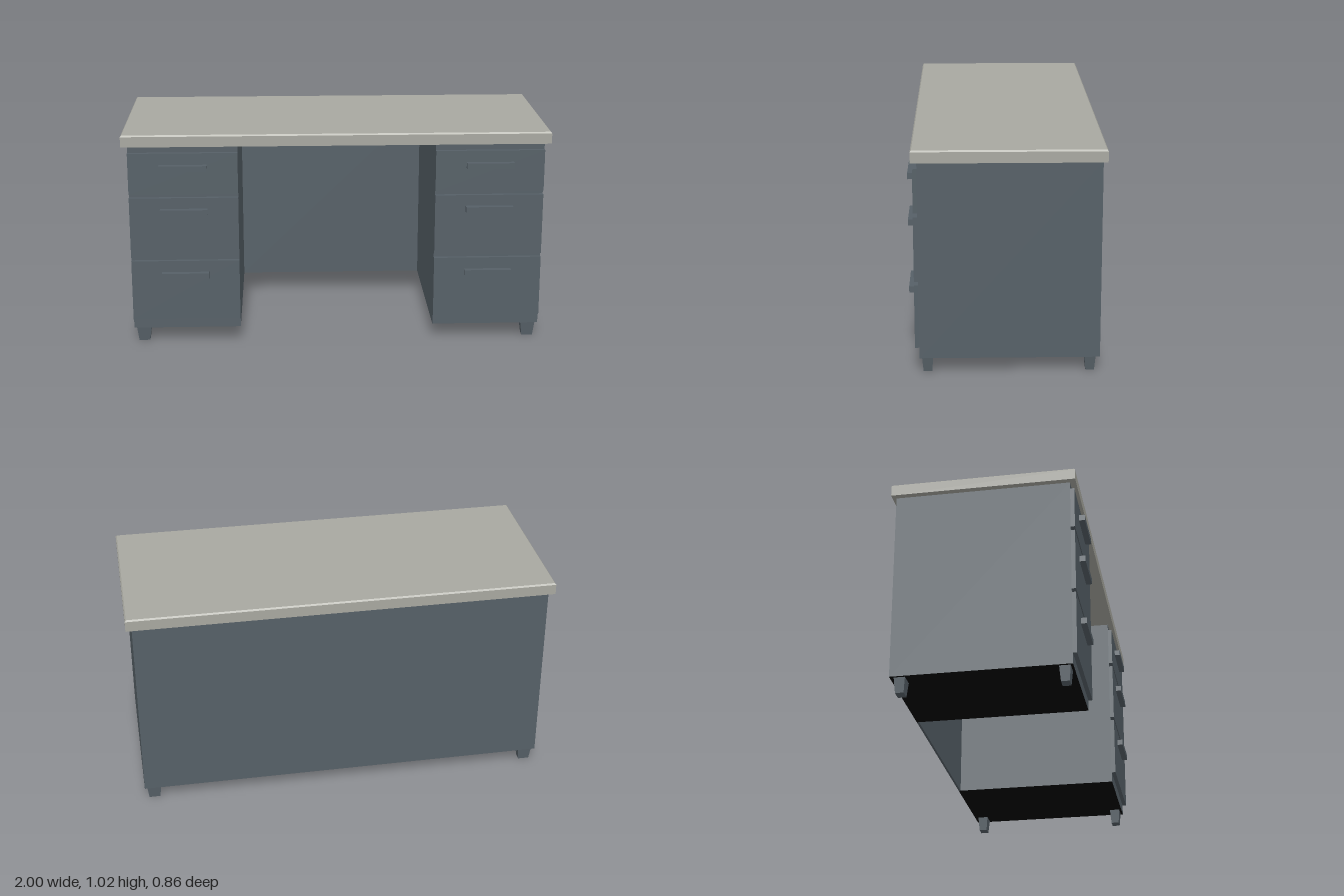
import * as THREE from 'three';

export function createModel() {
  const desk = new THREE.Group();
  desk.name = 'desk';

  const steel = new THREE.MeshStandardMaterial({ color: 0x566067 });
  steel.name = 'slate steel';
  const laminate = new THREE.MeshStandardMaterial({ color: 0xa8a8a0 });
  laminate.name = 'grey laminate';
  const dark = new THREE.MeshStandardMaterial({ color: 0x050505 });
  dark.name = 'black underside';

  // Box spanning two corners
  function box(name, material, [x0, y0, z0], [x1, y1, z1], parent = desk) {
    const mesh = new THREE.Mesh(new THREE.BoxGeometry(x1 - x0, y1 - y0, z1 - z0), material);
    mesh.position.set((x0 + x1) / 2, (y0 + y1) / 2, (z0 + z1) / 2);
    mesh.name = name;
    parent.add(mesh);
    return mesh;
  }

  // Box whose faces at one end (side = 1 top, -1 bottom) are drawn in
  function taper(mesh, side, sx, sz) {
    const p = mesh.geometry.attributes.position;
    for (let i = 0; i < p.count; i++) {
      if (p.getY(i) * side > 0) {
        p.setX(i, p.getX(i) * sx);
        p.setZ(i, p.getZ(i) * sz);
      }
    }
    mesh.geometry.computeVertexNormals();
  }

  // Desktop slab with a small chamfer round its upper edge
  box('desktop', laminate, [-1, 0.967, -0.431], [1, 1.016, 0.414]);
  const chamfer = box('desktopChamfer', laminate, [-1, 1.016, -0.431], [1, 1.023, 0.414]);
  taper(chamfer, 1, 0.994, 0.986);

  // Back panel closing the kneehole
  box('modestyPanel', steel, [-0.462, 0.07, -0.413], [0.462, 0.967, -0.403]);

  // Drawer fronts: bottom, top, handle centre height
  const drawers = [
    [0.12, 0.411, 0.342],
    [0.428, 0.72, 0.654],
    [0.738, 0.935, 0.866],
  ];

  for (const side of [-1, 1]) {
    const pedestal = new THREE.Group();
    pedestal.name = side > 0 ? 'leftPedestal' : 'rightPedestal';
    desk.add(pedestal);
    const cx = side * 0.717;
    const half = 0.255;

    // Cabinet with a black bottom face
    box('cabinet', [steel, steel, steel, dark, steel, steel],
      [cx - half, 0.07, -0.413], [cx + half, 0.967, 0.387], pedestal);

    for (const [y0, y1, hy] of drawers) {
      box('drawerFront', steel, [cx - half, y0, 0.387], [cx + half, y1, 0.406], pedestal);
      box('drawerHandle', steel,
        [cx - 0.111, hy - 0.014, 0.406], [cx + 0.111, hy + 0.014, 0.433], pedestal);
    }

    // Tapered feet under the outer corners
    for (const z of [0.351, -0.37]) {
      const x = side * 0.926;
      const foot = box('foot', steel,
        [x - 0.035, 0, z - 0.025], [x + 0.035, 0.07, z + 0.025], pedestal);
      taper(foot, -1, 0.74, 0.76);
    }
  }
  return desk;
}
